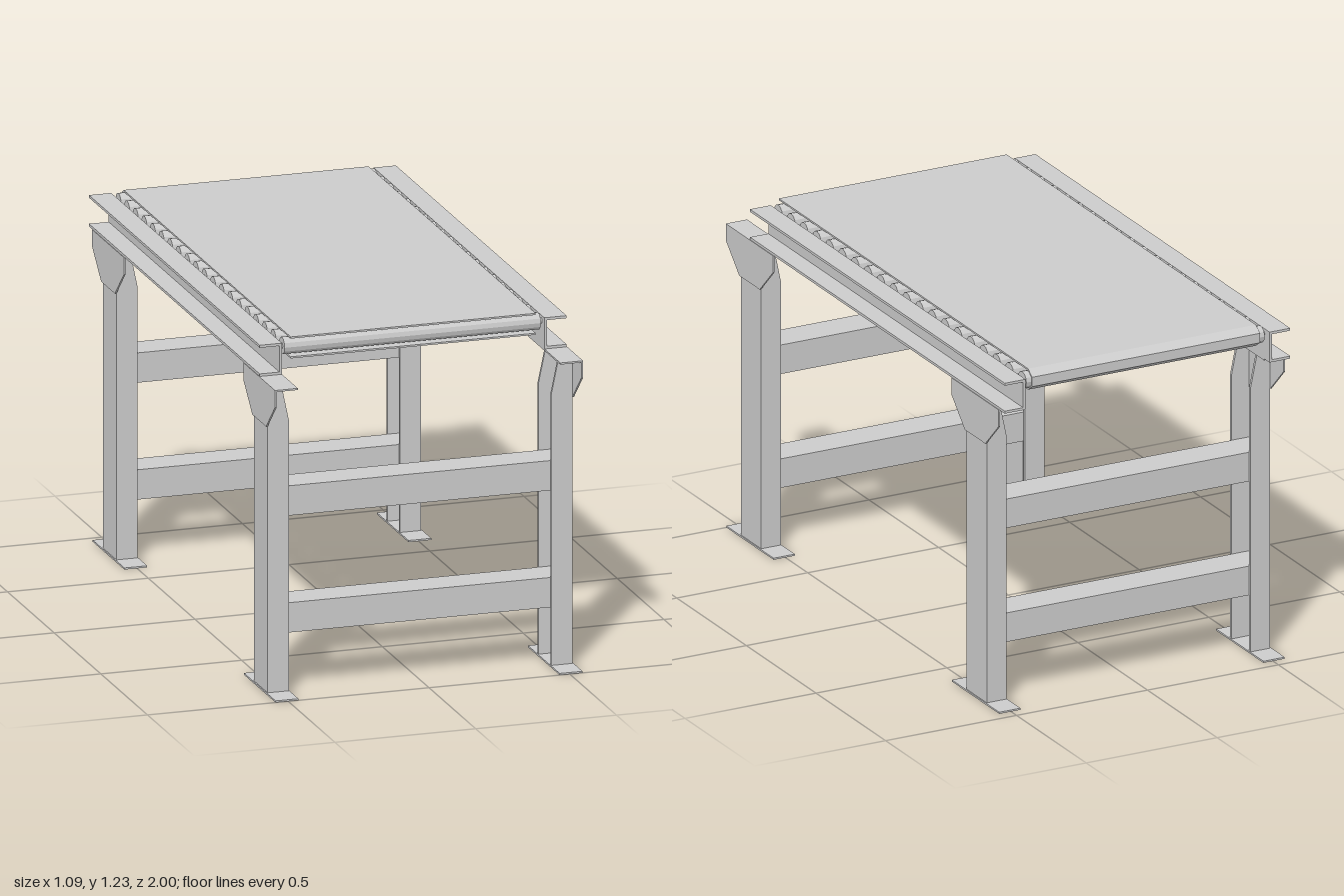
import * as THREE from 'three';

const steel = new THREE.MeshStandardMaterial({ color: 0xcccccc, flatShading: true });

function box(name, [x0, x1], [y0, y1], [z0, z1]) {
  const m = new THREE.Mesh(new THREE.BoxGeometry(x1 - x0, y1 - y0, z1 - z0), steel);
  m.position.set((x0 + x1) / 2, (y0 + y1) / 2, (z0 + z1) / 2);
  m.name = name;
  return m;
}

// Extrude an outline along +z from z0 to z1
function prism(points, z0, z1) {
  const shape = new THREE.Shape(points.map(p => new THREE.Vector2(...p)));
  return new THREE.ExtrudeGeometry(shape, { depth: z1 - z0, bevelEnabled: false }).translate(0, 0, z0);
}

function part(name, geometry) {
  const m = new THREE.Mesh(geometry, steel);
  m.name = name;
  return m;
}

// Channel rail on the +x side, open outwards
function rail(z0, z1) {
  const o = 0.545, i = 0.466, t = 0.009, y0 = 1.1, y1 = 1.21;
  return part('sideRail', prism([
    [i, y0], [o, y0], [o, y0 + t], [i + t, y0 + t],
    [i + t, y1 - t], [o, y1 - t], [o, y1], [i, y1],
  ], z0, z1));
}

// Leg on the +x side, centred on z = 0: channel open inwards, bracket head and foot plate
function leg() {
  const g = new THREE.Group();
  g.name = 'leg';
  const w = 0.0735, t = 0.01, half = 0.17;
  g.add(box('legWeb', [0.532, 0.541], [0, 1.075], [-w, w]));
  const flange = [[0.466, 0], [0.535, 0], [0.535, 1.075], [0.49, 1.075], [0.466, 0.96]];
  for (const z of [-w, w - t]) g.add(part('legFlange', prism(flange, z, z + t)));
  g.add(box('headPlate', [0.466, 0.546], [1.094, 1.1], [-half, half]));
  g.add(box('footPlate', [0.464, 0.545], [0, 0.006], [-half, half]));
  const gusset = prism([
    [-w, 0.945], [w, 0.945], [half, 1.04], [half, 1.1], [-half, 1.1], [-half, 1.04],
  ], 0, 0.006);
  gusset.rotateY(Math.PI / 2).translate(0.541, 0, 0);
  g.add(part('headGusset', gusset));
  return g;
}

export function createModel() {
  const model = new THREE.Group();
  model.name = 'conveyorTable';
  const legZ = [0.83, -0.79];

  // Rails and legs; the right side is the left one turned half a circle
  for (const side of [1, -1]) {
    const half = new THREE.Group();
    half.name = side > 0 ? 'leftSide' : 'rightSide';
    half.add(side > 0 ? rail(-1, 0.83) : rail(-0.83, 1));
    for (const z of legZ) {
      const l = leg();
      l.position.z = z * side;
      half.add(l);
    }
    if (side < 0) half.rotation.y = Math.PI;
    model.add(half);
  }

  // Cross members joining each pair of legs
  for (const z of legZ)
    for (const y of [0.208, 0.62])
      model.add(box('crossMember', [-0.532, 0.532], [y, y + 0.105], [z - 0.063, z + 0.063]));

  // Rollers with their pins
  const count = 20, first = -0.956, pitch = 0.0922, axis = 1.191;
  const rollerGeo = new THREE.CylinderGeometry(0.03, 0.03, 0.91, 12).rotateZ(Math.PI / 2);
  const pinGeo = new THREE.CylinderGeometry(0.01, 0.01, 0.94, 12).rotateZ(Math.PI / 2);
  for (let i = 0; i < count; i++) {
    const g = new THREE.Group();
    g.name = 'roller';
    g.add(part('rollerTube', rollerGeo), part('rollerPin', pinGeo));
    g.position.set(0, axis, first + i * pitch);
    model.add(g);
  }

  // Belt: upper and lower runs joined by a faceted bend at the rear, open at the front
  const run = (h, rear) => [
    [0.83, h], [rear + 0.03, h], [rear, h * 0.45],
    [rear, -h * 0.45], [rear + 0.03, -h], [0.83, -h],
  ].map(([z, y]) => [z, axis + y]);
  const outline = [...run(0.038, -0.99), ...run(0.032, -0.985).reverse()];
  model.add(part('belt', prism(outline, -0.435, 0.435).rotateY(-Math.PI / 2)));

  return model;
}
